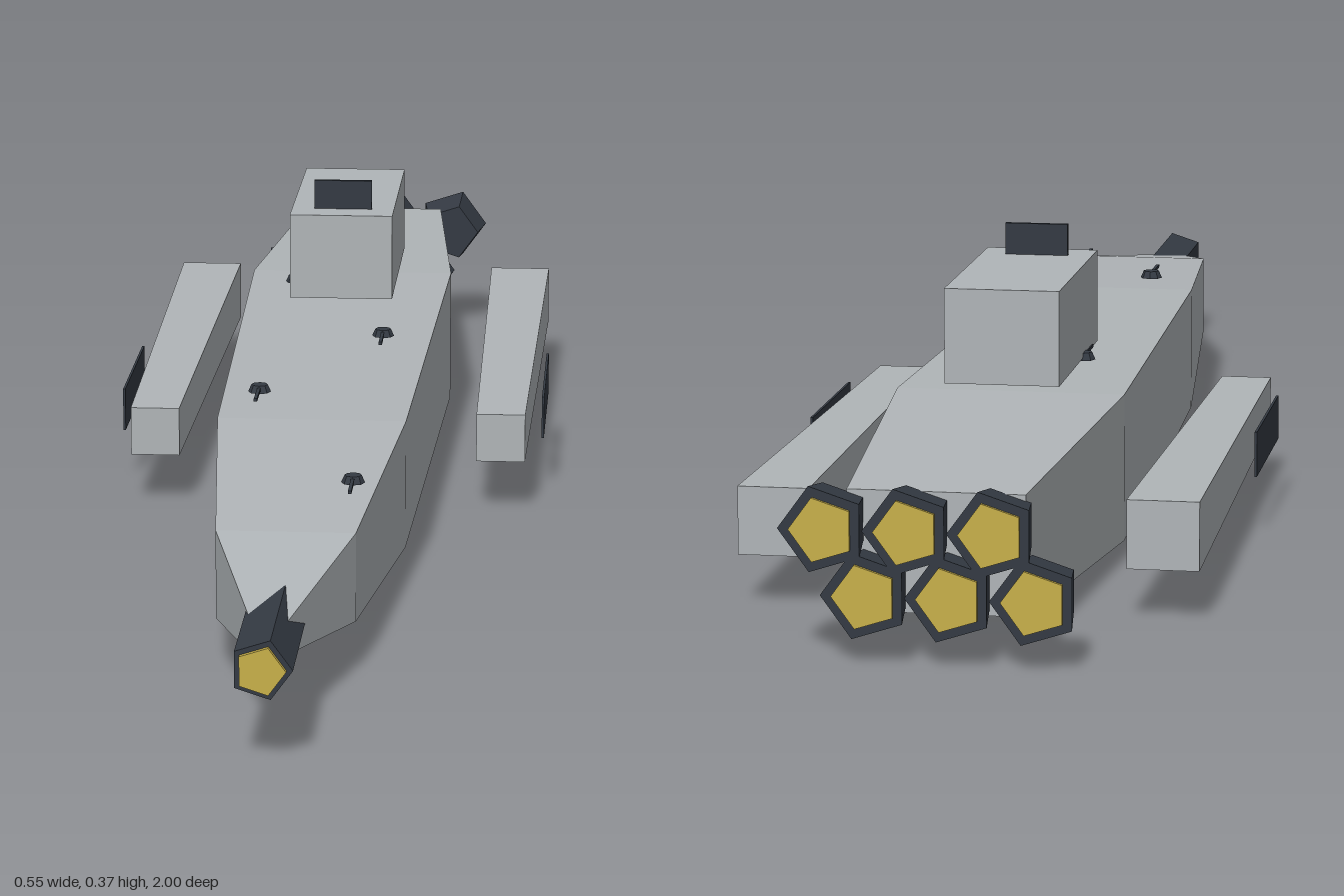
import * as THREE from 'three';

const paint = (name, color) => {
  const m = new THREE.MeshStandardMaterial({ color, flatShading: true });
  m.name = name;
  return m;
};

// Skin of rectangular sections [z, xMin, xMax, yMin, yMax], ordered back to front
function loft(sections) {
  const rings = sections.map(([z, x0, x1, y0, y1]) => [[x0, y0, z], [x1, y0, z], [x1, y1, z], [x0, y1, z]]);
  const pos = [];
  const quad = (a, b, c, d) => pos.push(...a, ...b, ...c, ...a, ...c, ...d);
  for (let s = 0; s < rings.length - 1; s++) {
    for (let i = 0; i < 4; i++) {
      const j = (i + 1) % 4;
      quad(rings[s][i], rings[s][j], rings[s + 1][j], rings[s + 1][i]);
    }
  }
  const [a, b, c, d] = rings[0];
  quad(d, c, b, a);
  quad(...rings[rings.length - 1]);
  const g = new THREE.BufferGeometry();
  g.setAttribute('position', new THREE.Float32BufferAttribute(pos, 3));
  g.computeVertexNormals();
  return g;
}

// Five-sided tube along z with one corner pointing to +x
function pentagon(rFront, rBack, zFront, zBack) {
  return new THREE.CylinderGeometry(rFront, rBack, zFront - zBack, 5)
    .rotateX(Math.PI / 2)
    .rotateZ(Math.PI / 2)
    .translate(0, 0, (zFront + zBack) / 2);
}

export function createModel() {
  const model = new THREE.Group();
  model.name = 'spaceship';
  const grey = paint('hullGrey', 0xb0b5b8);
  const dark = paint('darkMetal', 0x343a43);
  const gold = paint('glowGold', 0xc8b04a);

  const add = (name, geometry, material, x = 0, y = 0, z = 0, parent = model) => {
    const mesh = new THREE.Mesh(geometry, material);
    mesh.name = name;
    mesh.position.set(x, y, z);
    parent.add(mesh);
    return mesh;
  };

  // Main hull
  add('hull', loft([
    [-0.94, -0.098, 0.098, 0.045, 0.18],
    [-0.47, -0.135, 0.135, 0.022, 0.197],
    [0.27, -0.115, 0.115, 0.031, 0.19],
    [0.66, -0.08, 0.08, 0.06, 0.165],
    [0.9, -0.016, 0.016, 0.095, 0.128],
  ]), grey);

  // Nose cannon
  add('noseCannon', pentagon(0.035, 0.035, 0.994, 0.77), dark, 0, 0.111);
  add('noseGlow', pentagon(0.028, 0.028, 1, 0.99), gold, 0, 0.111);

  // Two staggered rows of engines
  for (const [x0, y] of [[0.113, 0.147], [0.067, 0.075]]) {
    for (let i = 0; i < 3; i++) {
      const x = x0 - i * 0.092;
      add('engine', pentagon(0.04, 0.0495, -0.935, -0.996), dark, x, y);
      add('engineGlow', pentagon(0.037, 0.037, -0.99, -1), gold, x, y);
    }
  }

  // Bridge tower and its sensor panel
  add('bridgeTower', new THREE.BoxGeometry(0.135, 0.112, 0.29), grey, 0, 0.272, -0.385);
  add('sensorPanel', new THREE.BoxGeometry(0.076, 0.04, 0.006), dark, 0, 0.346, -0.283);

  // Side pods with outer plates
  for (const side of [-1, 1]) {
    const x = side * 0.221;
    add('sidePod', loft([
      [-0.757, x - 0.041, x + 0.041, 0.058, 0.137],
      [0.005, x - 0.031, x + 0.031, 0.066, 0.128],
    ]), grey);
    add('podPlate', new THREE.BoxGeometry(0.003, 0.055, 0.225), dark, side * 0.272, 0.098, -0.207);
  }

  // Upper turrets, alternating sides
  [[0.067, 0.183, 0.515], [-0.067, 0.213, 0.228], [0.067, 0.213, -0.058], [-0.067, 0.213, -0.343]].forEach(([x, y, z]) => {
    const turret = new THREE.Group();
    turret.name = 'turret';
    turret.position.set(x, y, z);
    model.add(turret);
    add('turretBase', new THREE.CylinderGeometry(0.01, 0.014, 0.009, 8), dark, 0, 0.0045, 0, turret);
    add('turretBarrel', new THREE.BoxGeometry(0.004, 0.004, 0.06), dark, 0, 0.005, 0.03, turret);
  });

  // Lower guns
  [[0.067, 0.034, 0.4125], [-0.067, 0.002, 0.127], [0.067, 0.002, -0.16], [-0.067, 0.002, -0.445]].forEach(([x, y, z]) => {
    add('lowerGun', new THREE.BoxGeometry(0.004, 0.004, 0.055), dark, x, y, z);
  });

  return model;
}
